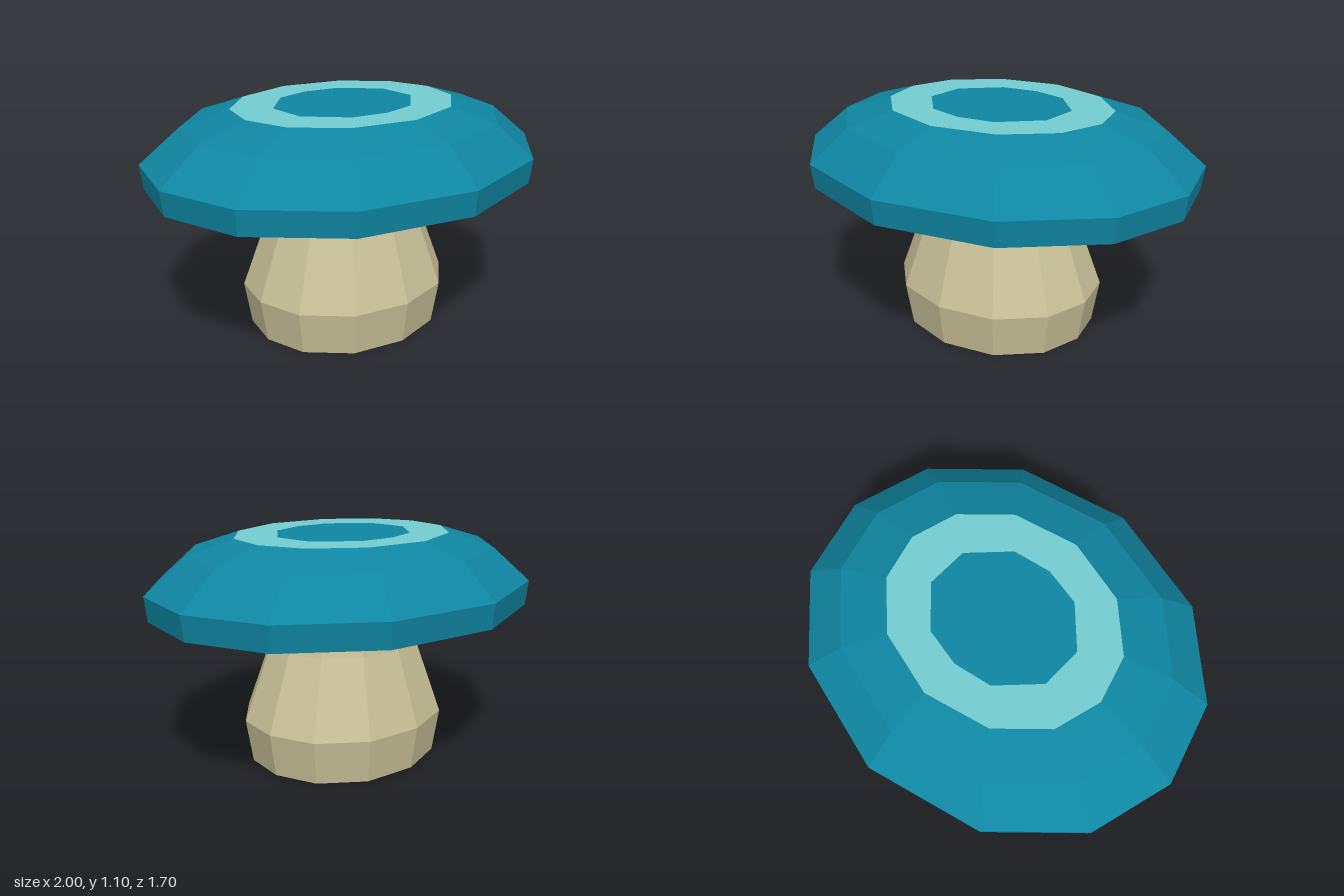
import * as THREE from 'three';

const teal = new THREE.MeshStandardMaterial({ name: 'teal cap', color: 0x0f86a2 });
const pale = new THREE.MeshStandardMaterial({ name: 'pale teal ring', color: 0x74cdd1 });
const cream = new THREE.MeshStandardMaterial({ name: 'cream stem', color: 0xcac299 });
const tan = new THREE.MeshStandardMaterial({ name: 'tan underside', color: 0xc6b796 });

// Mirrors a quarter outline, given from +z round to +x, into a closed loop.
function mirrorLoop(quarter) {
  const half = [...quarter, ...quarter.slice().reverse().filter(([, z]) => z > 0).map(([x, z]) => [x, -z])];
  const left = half.slice().reverse().filter(([x]) => x > 0).map(([x, z]) => [-x, z]);
  return [...half, ...left];
}

const capOutline = mirrorLoop([[0, 0.85], [0.54, 0.715], [0.89, 0.39], [1, 0]]);
const stemOutline = mirrorLoop([[0, 0.89], [0.53, 0.77], [0.89, 0.43], [1, 0]]);
const discOutline = mirrorLoop([[0, 0.3], [0.18, 0.265], [0.343, 0.1]]);

// Turns a [radius, y] profile round a faceted outline, with flat faces.
function facetedLathe(name, profile, outline, material) {
  const n = outline.length;
  const lathe = new THREE.LatheGeometry(profile.map(([r, y]) => new THREE.Vector2(r, y)), n);
  const pos = lathe.attributes.position;
  for (let k = 0; k < pos.count; k++) {
    const [x, z] = outline[Math.floor(k / profile.length) % n];
    const [r, y] = profile[k % profile.length];
    pos.setXYZ(k, x * r, y, z * r);
  }
  const geometry = lathe.toNonIndexed();
  geometry.computeVertexNormals();
  const mesh = new THREE.Mesh(geometry, material);
  mesh.name = name;
  return mesh;
}

// Lays a flat shape face up at height y.
function flatFace(name, shape, y, material) {
  const mesh = new THREE.Mesh(new THREE.ShapeGeometry(shape).rotateX(-Math.PI / 2), material);
  mesh.position.y = y;
  mesh.name = name;
  return mesh;
}

const toPoints = (loop, s = 1) => loop.map(([x, z]) => new THREE.Vector2(x * s, -z * s));

export function createModel() {
  const model = new THREE.Group();
  model.name = 'mushroom';

  // Stem, swelling near the foot
  model.add(facetedLathe('stem',
    [[0, 0], [0.485, 0], [0.52, 0.21], [0.385, 0.57], [0.335, 0.755], [0.28, 1.04]], stemOutline, cream));

  // Cap shell, hollow underside and the socket round the stem
  const cap = new THREE.Group();
  cap.name = 'cap';
  cap.add(facetedLathe('capShell', [[0.985, 0.755], [1, 0.872], [0.805, 1.03], [0.565, 1.1]], capOutline, teal));
  cap.add(facetedLathe('capUnderside', [[0.36, 0.985], [0.7, 0.885], [0.985, 0.755]], capOutline, tan));
  cap.add(facetedLathe('stemSocket', [[0, 1.04], [0.36, 1.04], [0.36, 0.985]], capOutline, teal));

  // Flat top: pale ring round a teal disc
  const ring = new THREE.Shape(toPoints(capOutline, 0.565));
  ring.holes.push(new THREE.Path(toPoints(discOutline)));
  cap.add(flatFace('topRing', ring, 1.1, pale));
  cap.add(flatFace('topDisc', new THREE.Shape(toPoints(discOutline)), 1.1, teal));
  model.add(cap);

  return model;
}
